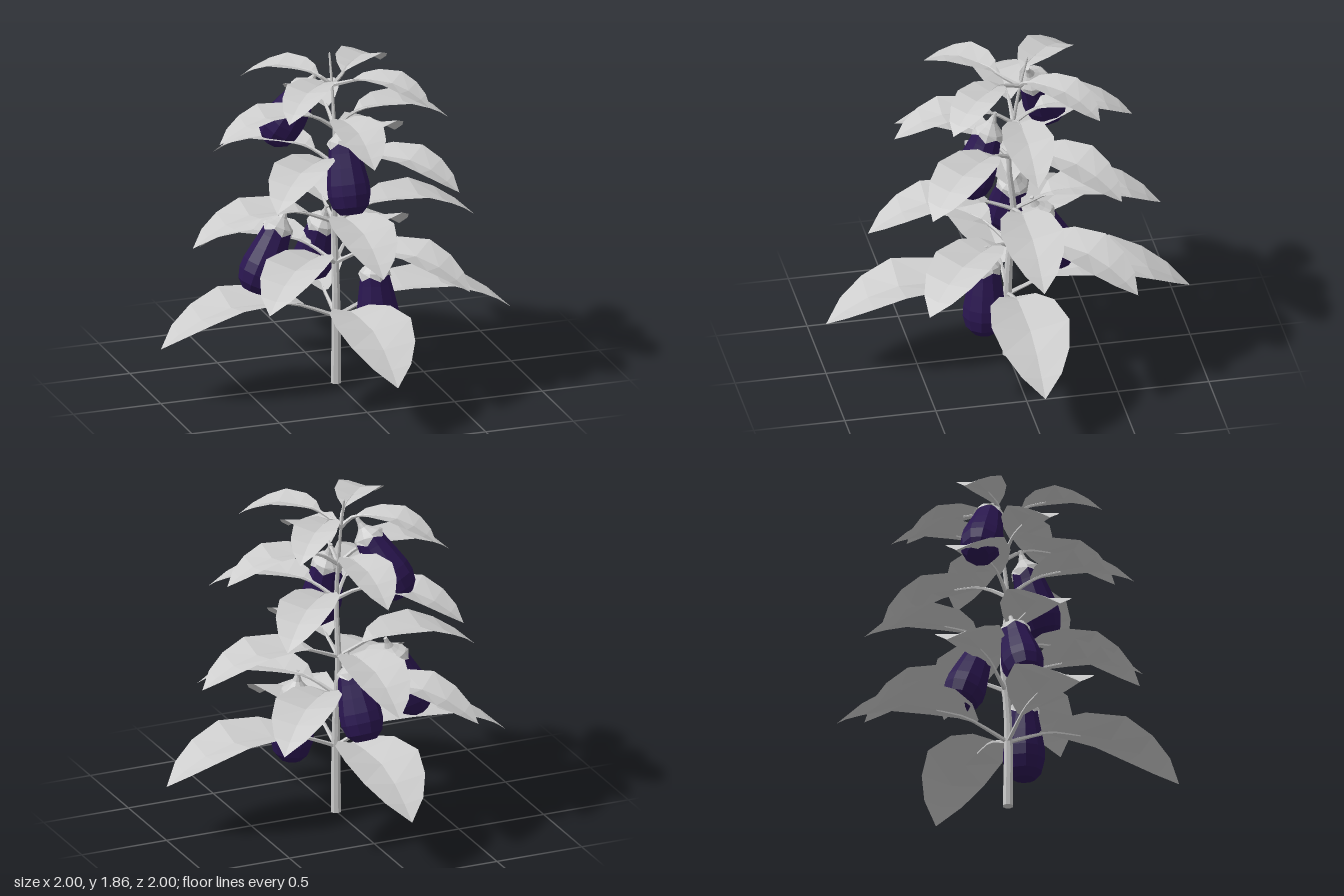
import * as THREE from 'three';

const leafMat = new THREE.MeshStandardMaterial({ color: 0xcccccc, flatShading: true, side: THREE.DoubleSide });
const greyMat = new THREE.MeshStandardMaterial({ color: 0xcccccc, flatShading: true });
const fruitMat = new THREE.MeshStandardMaterial({ color: 0x2a1650, flatShading: true });

const V = (x, y, z) => new THREE.Vector3(x, y, z);

function named(geometry, material, name) {
  const mesh = new THREE.Mesh(geometry, material);
  mesh.name = name;
  return mesh;
}

// Tube along a curve whose radius shrinks linearly from r0 to r1
function taperedTube(curve, segments, sides, r0, r1) {
  const geo = new THREE.TubeGeometry(curve, segments, 1, sides, false);
  const pos = geo.attributes.position;
  const p = V(0, 0, 0);
  for (let i = 0; i < pos.count; i++) {
    const t = Math.floor(i / (sides + 1)) / segments;
    const c = curve.getPointAt(t);
    p.fromBufferAttribute(pos, i).sub(c).multiplyScalar(r0 + (r1 - r0) * t).add(c);
    pos.setXYZ(i, p.x, p.y, p.z);
  }
  return geo;
}

// Leaf cross-sections for unit reach: distance, half width, midrib height, edge height
const LEAF = [
  [0.18, 0.02, -0.085, -0.08],
  [0.25, 0.1, -0.06, -0.03],
  [0.38, 0.175, -0.05, 0],
  [0.6, 0.215, -0.05, 0],
  [0.77, 0.18, -0.1, -0.07],
  [0.9, 0.11, -0.17, -0.15],
  [1, 0, -0.24, -0.24],
];

// Folded leaf blade pointing along +z
function leafGeometry(scale) {
  const verts = [], index = [];
  LEAF.forEach(([r, w, mid, edge], i) => {
    verts.push(-w, edge, r, 0, mid, r, w, edge, r);
    if (i === LEAF.length - 1) return;
    for (let k = 0; k < 2; k++) {
      const a = i * 3 + k, b = a + 3;
      index.push(a, b, a + 1, a + 1, b, b + 1);
    }
  });
  const geo = new THREE.BufferGeometry();
  geo.setAttribute('position', new THREE.Float32BufferAttribute(verts, 3));
  geo.setIndex(index);
  geo.scale(scale, scale, scale);
  geo.computeVertexNormals();
  return geo;
}

// Gently wavering main stem: height and z
const STEM = [[0, 0], [0.5, 0], [0.9, -0.03], [1.22, -0.003], [1.5, -0.035], [1.7, -0.07], [1.85, -0.105]];

function stemZ(y) {
  const i = Math.max(1, STEM.findIndex(([h]) => h >= y));
  const [y0, z0] = STEM[i - 1], [y1, z1] = STEM[i];
  return z0 + ((z1 - z0) * (y - y0)) / (y1 - y0);
}

// Four leaves with stalks around the stem
function leafTier({ node, top, reach, z, turn }) {
  const tier = new THREE.Group();
  tier.name = 'leafTier';
  const blade = leafGeometry(reach);
  for (let k = 0; k < 4; k++) {
    const angle = turn + (k * Math.PI) / 2;
    const sx = Math.sin(angle), cz = Math.cos(angle);
    const leaf = named(blade, leafMat, 'leaf');
    leaf.position.set(0, top, z);
    leaf.rotation.y = angle;
    const at = (r, dy) => V(sx * r * reach, top + dy * reach, z + cz * r * reach);
    const path = new THREE.CatmullRomCurve3([
      V(0, node, stemZ(node)), at(0.14, -0.107), at(0.25, -0.068), at(0.42, -0.058),
    ]);
    tier.add(leaf, named(taperedTube(path, 6, 5, 0.013, 0.006), greyMat, 'leafStalk'));
  }
  return tier;
}

// Fruit body, lobed calyx and stalk, standing on the origin along +y
const BODY = [[0, 0], [0.06, 0.004], [0.098, 0.045], [0.116, 0.11], [0.115, 0.17], [0.1, 0.26], [0.085, 0.34], [0.076, 0.4], [0, 0.43]];
const CALYX = [[0.089, 0.365], [0.08, 0.41], [0.05, 0.435], [0.026, 0.46], [0.015, 0.49], [0.011, 0.52], [0, 0.52]];
const lathe = (points, sides) => new THREE.LatheGeometry(points.map(([r, y]) => new THREE.Vector2(r, y)), sides);

function calyxGeometry() {
  const geo = lathe(CALYX, 10), pos = geo.attributes.position;
  // raise every other rim corner to make pointed lobes
  for (let i = 0; i < pos.count; i++) {
    const column = Math.floor(i / CALYX.length);
    if (i % CALYX.length === 0 && column % 2) pos.setY(i, 0.395);
  }
  return geo;
}

function fruit(bottom, tip) {
  const g = new THREE.Group();
  g.name = 'fruit';
  const axis = tip.clone().sub(bottom);
  g.add(named(lathe(BODY, 10), fruitMat, 'fruitBody'), named(calyxGeometry(), leafMat, 'calyx'));
  g.position.copy(bottom);
  g.scale.set(1, axis.length() / 0.52, 1);
  g.quaternion.setFromUnitVectors(V(0, 1, 0), axis.normalize());
  return g;
}

export function createModel() {
  const plant = new THREE.Group();
  plant.name = 'eggplantPlant';

  // Main stem with closed ends
  const path = new THREE.CatmullRomCurve3(STEM.map(([y, z]) => V(0, y, z)));
  plant.add(named(taperedTube(path, 18, 8, 0.03, 0.006), greyMat, 'stem'));
  const base = named(new THREE.CircleGeometry(0.03, 8), greyMat, 'stemBase');
  base.rotation.x = Math.PI / 2;
  plant.add(base);
  const end = named(new THREE.ConeGeometry(0.006, 0.008, 8), greyMat, 'stemTip');
  end.position.set(0, 1.853, -0.105);
  plant.add(end);

  // Leaf tiers alternate between straight and diagonal
  const diagonal = Math.PI / 4;
  [
    { node: 0.38, top: 0.55, reach: 1, z: 0, turn: 0 },
    { node: 0.68, top: 0.83, reach: 0.81, z: -0.025, turn: diagonal },
    { node: 0.91, top: 1.045, reach: 0.805, z: -0.035, turn: 0 },
    { node: 1.24, top: 1.38, reach: 0.735, z: 0, turn: diagonal },
    { node: 1.45, top: 1.585, reach: 0.655, z: -0.03, turn: 0 },
    { node: 1.68, top: 1.79, reach: 0.57, z: -0.02, turn: diagonal },
  ].forEach((t) => plant.add(leafTier(t)));

  // Hanging fruits: bottom and stalk tip
  [
    [V(0.19, 0.27, 0.175), V(0.155, 0.79, 0.155)],
    [V(-0.04, 0.52, -0.31), V(-0.005, 0.97, -0.13)],
    [V(-0.45, 0.55, -0.08), V(-0.25, 1.0, -0.09)],
    [V(0.01, 1.035, 0.225), V(0, 1.53, 0.07)],
    [V(-0.27, 1.32, -0.29), V(-0.07, 1.74, -0.12)],
  ].forEach(([bottom, tip]) => plant.add(fruit(bottom, tip)));

  return plant;
}
